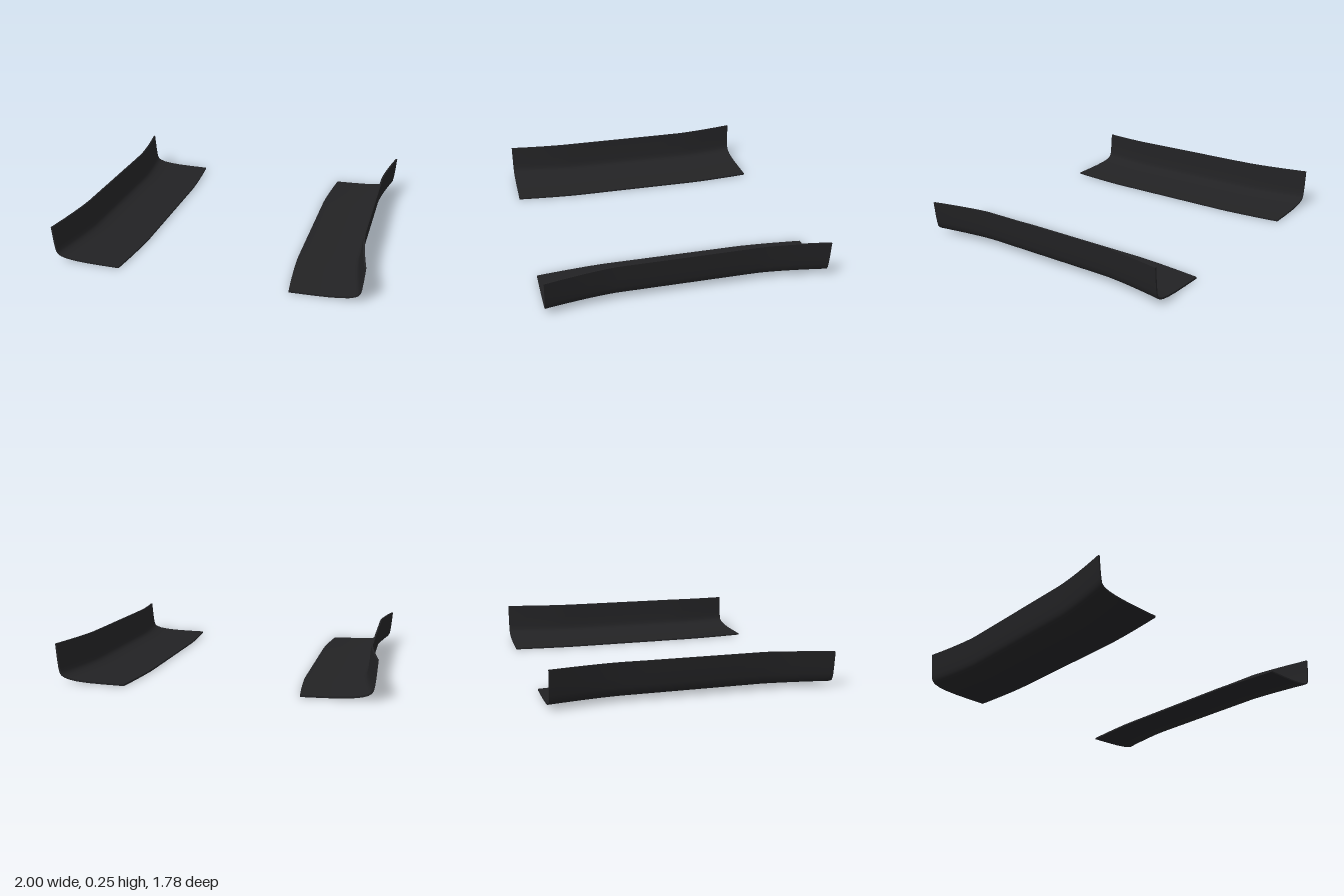
import * as THREE from 'three';
import { toCreasedNormals } from 'three/addons/utils/BufferGeometryUtils.js';

const HALF = 0.89, FLAT = 0.45, THICK = 0.011, TOP = 0.244;

// Underside of the sill section at the flared ends, inner edge to wall top
const OUTER = [
  [0.55, 0], [0.68, 0.002], [0.78, 0.005], [0.86, 0.011], [0.915, 0.02], [0.948, 0.031],
  [0.968, 0.044], [0.979, 0.062], [0.985, 0.09], [0.992, 0.15], [1, TOP],
].map(([x, y]) => new THREE.Vector2(x, y));

// Same curve moved inward by the sheet thickness
const INNER = OUTER.map((p, i) => {
  const a = OUTER[Math.max(i - 1, 0)], b = OUTER[Math.min(i + 1, OUTER.length - 1)];
  const t = b.clone().sub(a).normalize();
  const q = new THREE.Vector2(p.x - t.y * THICK, p.y + t.x * THICK);
  if (i === OUTER.length - 1) q.y = TOP;
  return q;
});
const RING = [...OUTER, ...INNER.slice().reverse()];

// Straight in the middle, bowing outward toward both ends
function place(p, z, side) {
  const bow = Math.pow(Math.max(0, (Math.abs(z) - FLAT) / (HALF - FLAT)), 1.4);
  const shift = THREE.MathUtils.mapLinear(p.x, 0.55, 1, 0.035, 0.062);
  const rise = z > 0.45 ? -0.002 - 0.012 * (z - 0.45) / 0.44 : z < -0.3 ? 0.004 * (-z - 0.3) / 0.59 : -0.002 * (z + 0.3) / 0.75;
  return [side * (p.x - shift * (1 - bow)), p.y + rise * (p.y / TOP), z];
}

function sillGeometry(side) {
  const stations = [];
  for (let i = 0; i <= 10; i++) stations.push(-HALF + (HALF - FLAT) * i / 10);
  stations.push(-0.3, 0, 0.3);
  for (let i = 0; i <= 10; i++) stations.push(FLAT + (HALF - FLAT) * i / 10);

  const n = RING.length, last = stations.length - 1, pos = [], index = [];
  stations.forEach(z => RING.forEach(p => pos.push(...place(p, z, side))));
  const quad = (a, b, c, d) => side > 0
    ? index.push(a, b, c, a, c, d)
    : index.push(a, c, b, a, d, c);

  // Skin along the length
  for (let i = 0; i < last; i++)
    for (let j = 0; j < n; j++) {
      const k = (j + 1) % n;
      quad(i * n + j, i * n + k, (i + 1) * n + k, (i + 1) * n + j);
    }
  // End caps
  for (let j = 0; j < OUTER.length - 1; j++) {
    const f = last * n;
    quad(f + j, f + j + 1, f + n - 2 - j, f + n - 1 - j);
    quad(n - 1 - j, n - 2 - j, j + 1, j);
  }
  const geo = new THREE.BufferGeometry();
  geo.setAttribute('position', new THREE.Float32BufferAttribute(pos, 3));
  geo.setIndex(index);
  return toCreasedNormals(geo, Math.PI / 4);
}

export function createModel() {
  const group = new THREE.Group();
  group.name = 'sillGuards';
  const material = new THREE.MeshStandardMaterial({ color: 0x222224 });
  for (const [side, name] of [[1, 'leftSillGuard'], [-1, 'rightSillGuard']]) {
    const mesh = new THREE.Mesh(sillGeometry(side), material);
    mesh.name = name;
    group.add(mesh);
  }
  return group;
}
